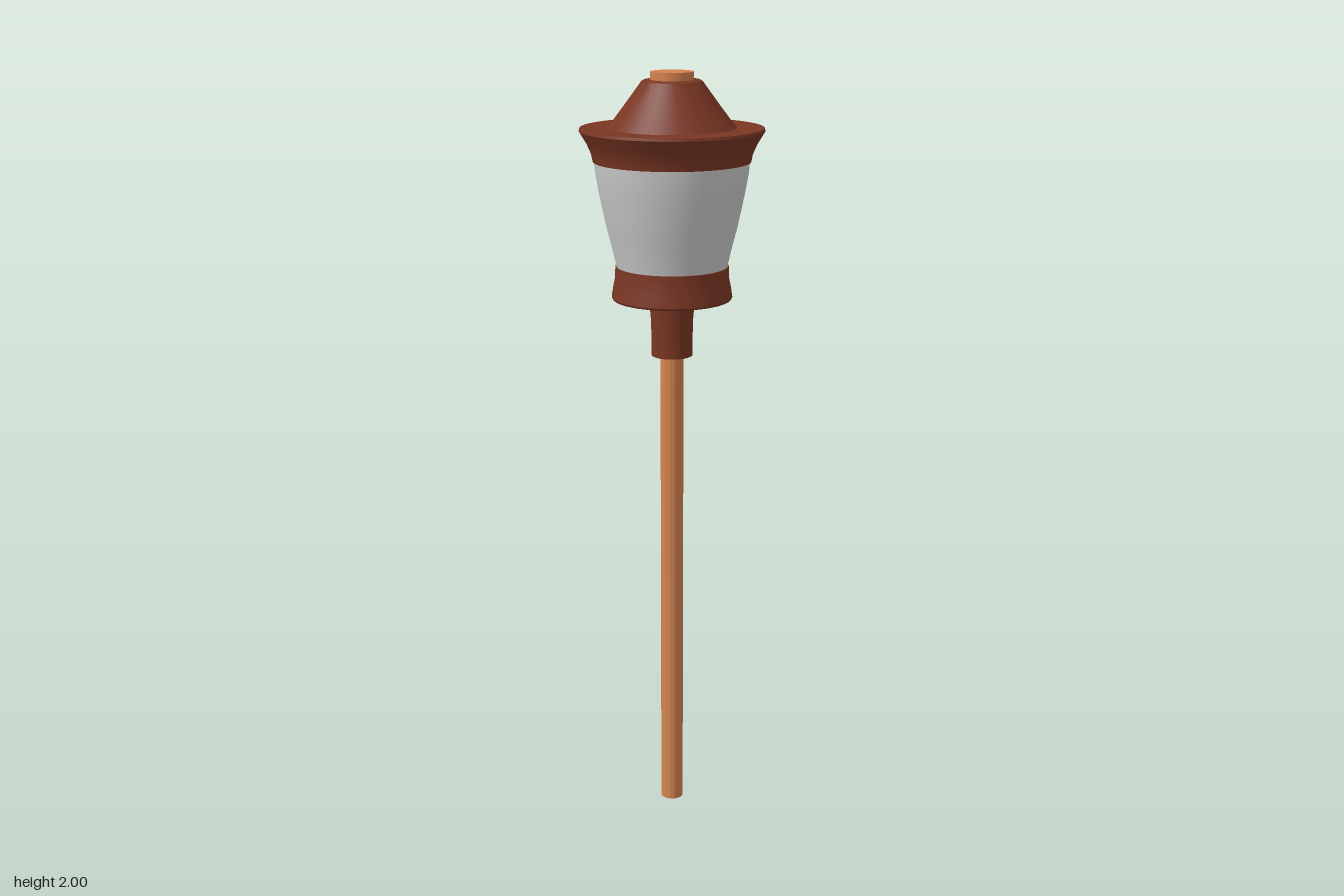
import * as THREE from 'three';
import { toCreasedNormals } from 'three/addons/utils/BufferGeometryUtils.js';

const SEGMENTS = 64;

export function createModel() {
  const group = new THREE.Group();
  const copper = new THREE.MeshStandardMaterial({ color: 0xd4834f });
  const brown = new THREE.MeshStandardMaterial({ color: 0x7a3623 });
  const grey = new THREE.MeshStandardMaterial({ color: 0xcccccc });

  // Revolves a bottom-to-top [radius, height] profile, keeping hard rims sharp
  function turned(name, profile, material) {
    const points = profile.map(([r, y]) => new THREE.Vector2(r, y));
    const geometry = toCreasedNormals(new THREE.LatheGeometry(points, SEGMENTS), 0.45);
    const mesh = new THREE.Mesh(geometry, material);
    mesh.name = name;
    group.add(mesh);
  }

  // Slim post
  turned('pole', [[0, 0], [0.03, 0], [0.03, 1.3], [0, 1.3]], copper);

  // Sleeve joining the post to the lantern
  turned('collar', [
    [0, 1.28], [0.053, 1.28], [0.054, 1.37], [0.06, 1.435], [0, 1.435],
  ], brown);

  // Flared cup holding the shade
  turned('lanternBase', [
    [0, 1.43], [0.152, 1.43], [0.155, 1.435], [0.151, 1.46],
    [0.146, 1.485], [0.145, 1.515], [0, 1.515],
  ], brown);

  // Gently bulging shade
  turned('shade', [
    [0.141, 1.51], [0.152, 1.56], [0.165, 1.61], [0.176, 1.66],
    [0.186, 1.71], [0.193, 1.75], [0.197, 1.79],
  ], grey);

  // Flaring brim with a flat top
  turned('brim', [
    [0, 1.78], [0.199, 1.78], [0.203, 1.8], [0.214, 1.825],
    [0.233, 1.856], [0.231, 1.863], [0, 1.863],
  ], brown);

  // Conical roof
  turned('roof', [
    [0.164, 1.86], [0.158, 1.867], [0.12, 1.917], [0.083, 1.967],
    [0.077, 1.976], [0.07, 1.98], [0, 1.98],
  ], brown);

  // Round cap on the roof
  turned('cap', [[0, 1.96], [0.054, 1.96], [0.054, 2], [0, 2]], copper);

  return group;
}
